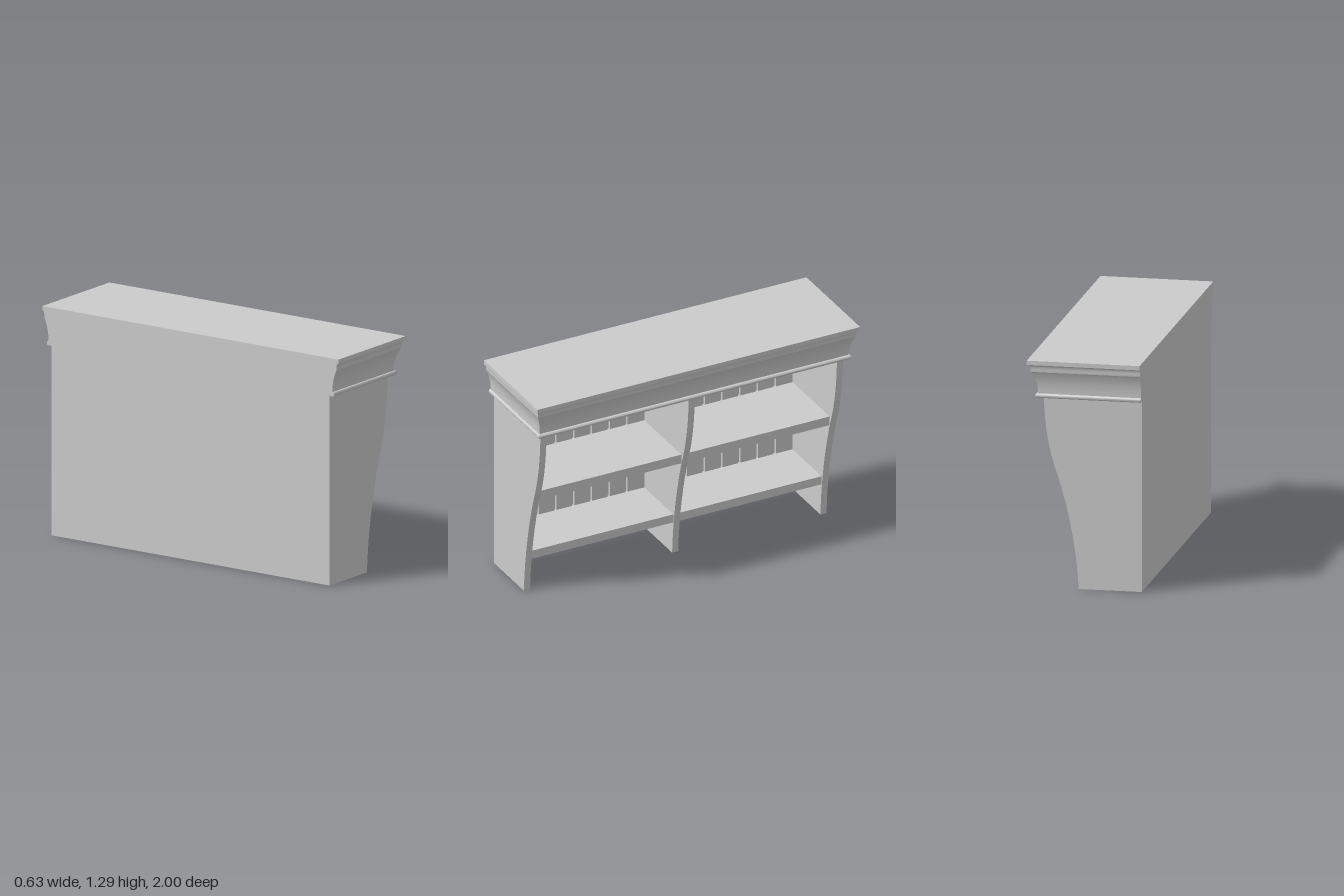
import * as THREE from 'three';
import { toCreasedNormals } from 'three/addons/utils/BufferGeometryUtils.js';

const BACK = -0.316, UNDER = 1.076;
const material = new THREE.MeshStandardMaterial({ color: 0xcccccc });

function add(group, name, geometry, x = 0, y = 0, z = 0) {
  const mesh = new THREE.Mesh(geometry, material);
  mesh.name = name;
  mesh.position.set(x, y, z);
  group.add(mesh);
  return mesh;
}

// Upright panel with an S-curved front edge, drawn in x/y
function uprightGeometry(thickness) {
  const s = new THREE.Shape();
  s.moveTo(BACK, 0);
  s.lineTo(0.038, 0);
  s.bezierCurveTo(0.046, 0.19, 0.085, 0.42, 0.155, 0.635);
  s.bezierCurveTo(0.2, 0.76, 0.23, 0.9, 0.232, UNDER);
  s.lineTo(BACK, UNDER);
  s.closePath();
  const g = new THREE.ExtrudeGeometry(s, { depth: thickness, bevelEnabled: false, curveSegments: 20 });
  g.translate(0, 0, -thickness / 2);
  return toCreasedNormals(g, 0.5);
}

// Back board with V-grooves between planks, drawn in x/z and extruded upward
function backGeometry(z0, z1, planks) {
  const face = BACK + 0.026, deep = face - 0.012, half = 0.007;
  const s = new THREE.Shape();
  s.moveTo(BACK, -z0);
  s.lineTo(face, -z0);
  for (let i = 1; i < planks; i++) {
    const z = z0 + (z1 - z0) * i / planks;
    s.lineTo(face, -(z - half));
    s.lineTo(deep, -(z - half * 0.5));
    s.lineTo(deep, -(z + half * 0.5));
    s.lineTo(face, -(z + half));
  }
  s.lineTo(face, -z1);
  s.lineTo(BACK, -z1);
  s.closePath();
  const g = new THREE.ExtrudeGeometry(s, { depth: UNDER, bevelEnabled: false });
  g.rotateX(-Math.PI / 2);
  return g;
}

// Cornice: rectangles stacked along a moulding profile, mitred at the front
// corners and flush at the back
function corniceGeometry() {
  const profile = [[0.045, 1.074]]; // [inset from the top edge, height]
  for (let i = 1; i < 10; i++) { // bead
    const a = -Math.PI / 2 + Math.PI * i / 10;
    profile.push([0.053 - 0.0125 * Math.cos(a), 1.0865 + 0.0125 * Math.sin(a)]);
  }
  profile[0] = [0.053, 1.074];
  profile.push([0.053, 1.099], [0.056, 1.099]);
  const cove = new THREE.CubicBezierCurve(
    new THREE.Vector2(0.056, 1.099), new THREE.Vector2(0.055, 1.16),
    new THREE.Vector2(0.04, 1.19), new THREE.Vector2(0.022, 1.222));
  cove.getPoints(12).slice(1).forEach(p => profile.push([p.x, p.y]));
  profile.push([0.019, 1.224], [0.019, 1.236]);
  for (let i = 1; i <= 5; i++) { // small rounded step under the top fillet
    const a = Math.PI / 2 * i / 5;
    profile.push([0.019 - 0.015 * (1 - Math.cos(a)), 1.236 + 0.03 * Math.sin(a)]);
  }
  profile.push([0, 1.266], [0, 1.29]);

  const rings = profile.map(([d, y]) => {
    const x = 0.316 - d, z = 1 - 0.75 * d;
    return [[BACK, y, z], [x, y, z], [x, y, -z], [BACK, y, -z]];
  });
  const pos = [];
  const quad = (a, b, c, d) => pos.push(...a, ...b, ...c, ...a, ...c, ...d);
  for (let i = 0; i + 1 < rings.length; i++) {
    for (let k = 0; k < 4; k++) {
      const n = (k + 1) % 4;
      quad(rings[i][k], rings[i][n], rings[i + 1][n], rings[i + 1][k]);
    }
  }
  const top = rings[rings.length - 1], low = rings[0];
  quad(top[0], top[1], top[2], top[3]);
  quad(low[3], low[2], low[1], low[0]);
  const g = new THREE.BufferGeometry();
  g.setAttribute('position', new THREE.Float32BufferAttribute(pos, 3));
  return toCreasedNormals(g, 0.5);
}

export function createModel() {
  const group = new THREE.Group();
  group.name = 'wallShelf';

  add(group, 'cornice', corniceGeometry());

  // Uprights: two ends and a central divider
  const upright = uprightGeometry(0.038);
  add(group, 'leftEndPanel', upright, 0, 0, 0.919);
  add(group, 'rightEndPanel', upright, 0, 0, -0.919);
  add(group, 'centreDivider', upright);

  // Two bays, each with a planked back and two shelves
  const shelves = [
    { name: 'lowerShelf', y: 0.223, height: 0.05, front: 0.053 },
    { name: 'upperShelf', y: 0.643, height: 0.054, front: 0.147 },
  ];
  for (const side of [-1, 1]) {
    const bay = new THREE.Group();
    bay.name = side > 0 ? 'frontBay' : 'rearBay';
    const ends = [side * 0.019, side * 0.9].sort((a, b) => a - b);
    add(bay, 'plankedBack', backGeometry(ends[0], ends[1], 8));
    for (const { name, y, height, front } of shelves) {
      const x0 = BACK + 0.01;
      add(bay, name, new THREE.BoxGeometry(front - x0, height, 0.881), (front + x0) / 2, y, side * 0.4595);
    }
    group.add(bay);
  }
  return group;
}
